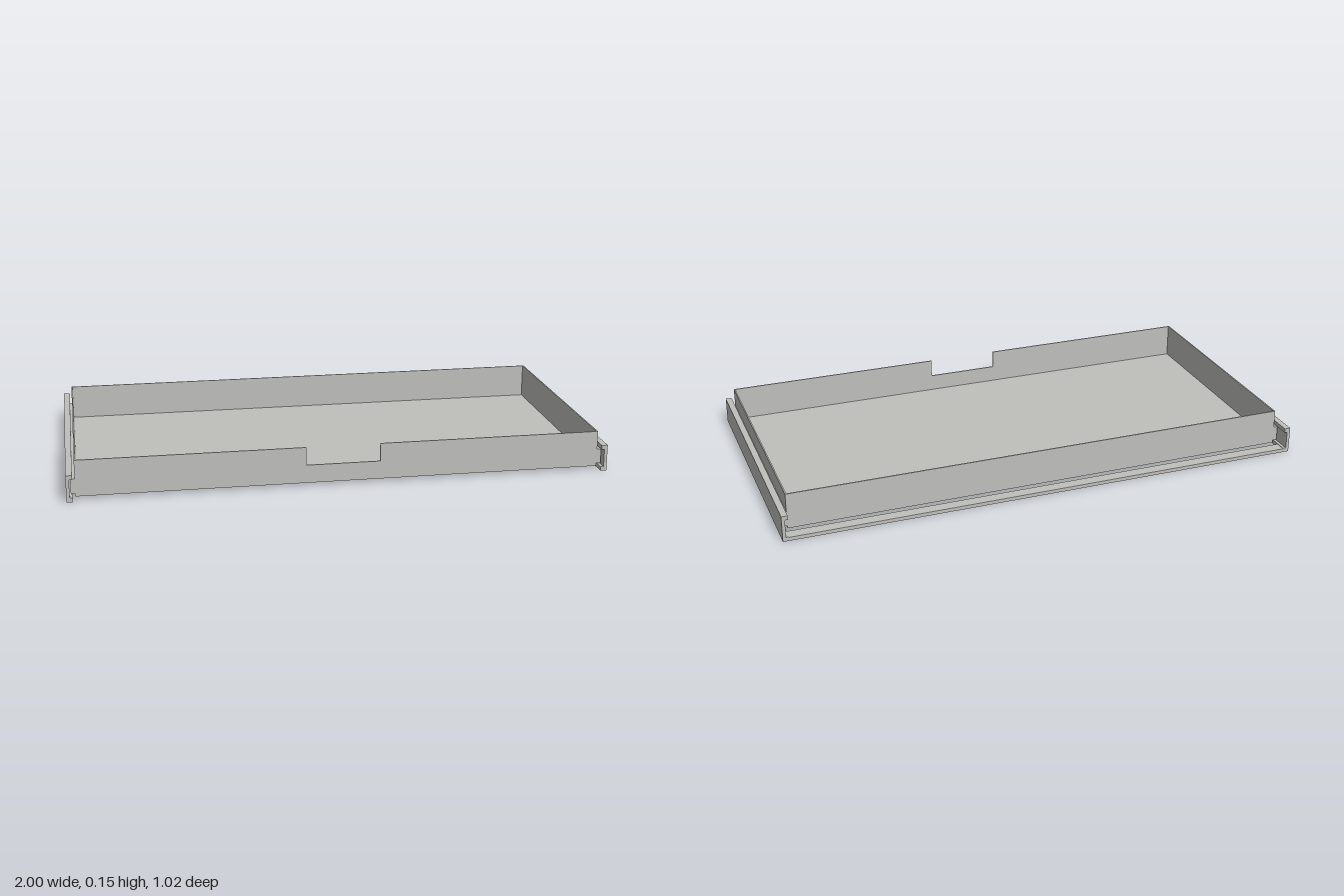
import * as THREE from 'three';

export function createModel() {
  const model = new THREE.Group();
  const metal = new THREE.MeshStandardMaterial({ color: 0xbfbfbc });
  metal.name = 'grey sheet metal';

  // Box given by its lower and upper limits on each axis
  function slab(parent, name, x0, x1, y0, y1, z0, z1) {
    const mesh = new THREE.Mesh(new THREE.BoxGeometry(x1 - x0, y1 - y0, z1 - z0), metal);
    mesh.position.set((x0 + x1) / 2, (y0 + y1) / 2, (z0 + z1) / 2);
    mesh.name = name;
    parent.add(mesh);
  }

  // Profile in x and y, extruded from z0 to z1
  function profile(parent, name, points, z0, z1) {
    const shape = new THREE.Shape(points.map(([x, y]) => new THREE.Vector2(x, y)));
    const geometry = new THREE.ExtrudeGeometry(shape, { depth: z1 - z0, bevelEnabled: false });
    geometry.translate(0, 0, z0);
    const mesh = new THREE.Mesh(geometry, metal);
    mesh.name = name;
    parent.add(mesh);
  }

  const W = 0.968, T = 0.005, BASE = 0.012, TOP = 0.148;
  const BACK = -0.445, FRONT = 0.488;

  // Sheet metal tray
  const tray = new THREE.Group();
  tray.name = 'tray';
  model.add(tray);
  slab(tray, 'trayFloor', -W, W, BASE, BASE + T, BACK, FRONT);
  slab(tray, 'trayBackWall', -W, W, BASE, TOP, BACK, BACK + T);

  // Front wall with hand notch, and ears that reach into the rails
  const half = [
    [0.137, 0.08], [0.137, TOP], [W, TOP], [W, 0.078],
    [0.984, 0.078], [0.984, 0.022], [W, 0.022], [W, BASE],
  ];
  const mirrored = half.map(([x, y]) => [-x, y]).reverse();
  profile(tray, 'trayFrontWall', [...half, ...mirrored], FRONT - T, FRONT);

  // Side walls, runners and C-shaped slide rails
  for (const [side, s] of [['left', 1], ['right', -1]]) {
    const span = (a, b) => (s > 0 ? [a, b] : [-b, -a]);
    slab(tray, side + 'TrayWall', ...span(W - T, W), BASE, TOP, BACK, FRONT);
    slab(tray, side + 'Runner', ...span(W, 0.984), 0.022, 0.078, BACK, FRONT - T);
    const rail = [
      [1, 0], [1, 0.1], [0.977, 0.1], [0.977, 0.084], [0.988, 0.084],
      [0.988, 0.016], [0.977, 0.016], [0.977, 0],
    ].map(([x, y]) => [x * s, y]);
    profile(model, side + 'Rail', rail, -0.512, 0.512);
  }

  // Low cross strip joining the rails behind the tray
  slab(model, 'backCrossStrip', -0.985, 0.985, 0, 0.014, -0.512, -0.468);

  return model;
}
